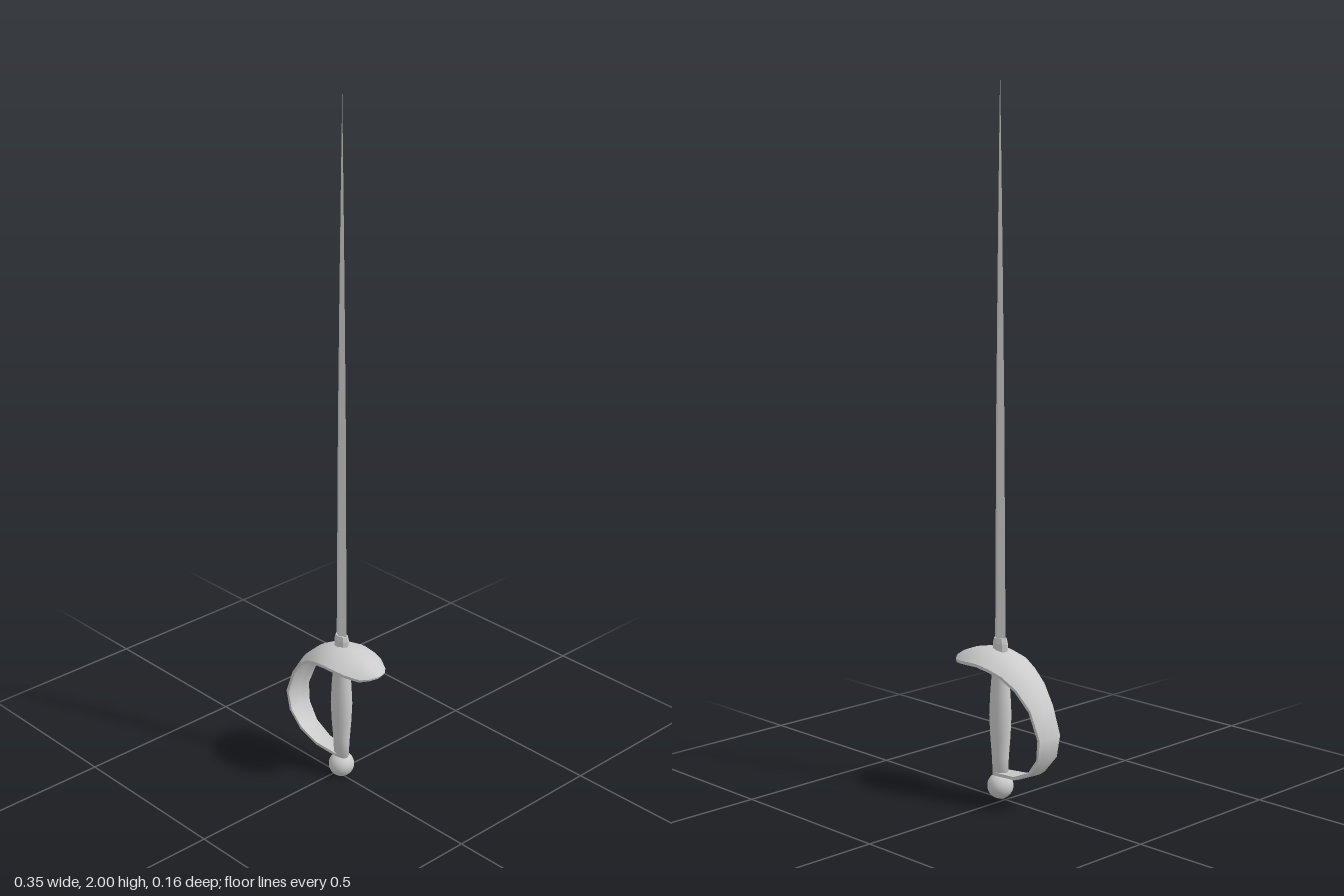
import * as THREE from 'three';
import { toCreasedNormals } from 'three/addons/utils/BufferGeometryUtils.js';

const AXIS_X = 0.02; // the blade and grip stand slightly off centre
const grey = new THREE.MeshStandardMaterial({ color: 0xcccccc });
const greyFlat = new THREE.MeshStandardMaterial({ color: 0xcccccc, flatShading: true });

// Turned part from [radius, y] pairs, flattened in depth
function turned(name, profile, sides, depth, material) {
  const points = profile.map(([r, y]) => new THREE.Vector2(r, y));
  const mesh = new THREE.Mesh(new THREE.LatheGeometry(points, sides), material);
  mesh.name = name;
  mesh.scale.z = depth;
  mesh.position.x = AXIS_X;
  return mesh;
}

// Cupped band: stations are [x, y, half width, droop of the edges]
function guardGeometry(stations, thickness, across) {
  const positions = [], index = [];
  const ringSize = 2 * (across + 1);
  stations.forEach(([x, y, w, droop], i) => {
    const before = stations[Math.max(i - 1, 0)];
    const after = stations[Math.min(i + 1, stations.length - 1)];
    const along = new THREE.Vector2(after[0] - before[0], after[1] - before[1]).normalize();
    const inX = -along.y, inY = along.x; // towards the hand
    for (let j = 0; j < ringSize; j++) {
      const inner = j > across;
      const s = (inner ? ringSize - 1 - j : j) / across * 2 - 1;
      const d = droop * s * s + (inner ? thickness : 0);
      positions.push(x + inX * d, y + inY * d, w * s);
    }
  });
  for (let i = 0; i < stations.length - 1; i++) {
    for (let j = 0; j < ringSize; j++) {
      const k = (j + 1) % ringSize;
      const a = i * ringSize + j, c = i * ringSize + k;
      const b = a + ringSize, d = c + ringSize;
      index.push(a, b, c, c, b, d);
    }
  }
  const geometry = new THREE.BufferGeometry();
  geometry.setAttribute('position', new THREE.Float32BufferAttribute(positions, 3));
  geometry.setIndex(index);
  return toCreasedNormals(geometry, Math.PI / 4);
}

export function createModel() {
  const group = new THREE.Group();
  group.name = 'sword';

  // Slender diamond-section blade
  group.add(turned('blade', [
    [0.021, 0.41], [0.02, 0.5], [0.0155, 1.1], [0.0095, 1.5], [0.005, 1.75], [0, 2],
  ], 4, 0.6, greyFlat));

  // Collar where the blade enters the guard
  group.add(turned('collar', [
    [0, 0.405], [0.025, 0.405], [0.025, 0.445], [0.021, 0.46], [0, 0.46],
  ], 8, 0.65, greyFlat));

  // Swelling grip
  group.add(turned('grip', [
    [0, 0.06], [0.023, 0.06], [0.026, 0.12], [0.031, 0.18], [0.034, 0.24],
    [0.031, 0.3], [0.026, 0.36], [0.024, 0.42],
  ], 16, 0.82, grey));

  // Ball pommel
  const pommel = new THREE.Mesh(new THREE.SphereGeometry(0.037, 20, 14), grey);
  pommel.name = 'pommel';
  pommel.position.set(AXIS_X, 0.037, 0);
  group.add(pommel);

  // Cupped hand guard sweeping down into the knuckle bow
  const guard = new THREE.Mesh(guardGeometry([
    [0.176, 0.39, 0.002, 0.001],
    [0.17, 0.394, 0.028, 0.008],
    [0.154, 0.403, 0.05, 0.02],
    [0.115, 0.418, 0.07, 0.028],
    [0.075, 0.427, 0.078, 0.032],
    [0.03, 0.43, 0.081, 0.033],
    [-0.02, 0.42, 0.077, 0.032],
    [-0.065, 0.395, 0.066, 0.026],
    [-0.11, 0.355, 0.055, 0.018],
    [-0.15, 0.295, 0.044, 0.011],
    [-0.177, 0.215, 0.04, 0.006],
    [-0.167, 0.15, 0.036, 0.005],
    [-0.125, 0.1, 0.031, 0.004],
    [-0.06, 0.073, 0.027, 0.003],
    [0.02, 0.068, 0.022, 0.002],
  ], 0.009, 10), grey);
  guard.name = 'handGuard';
  group.add(guard);

  return group;
}
